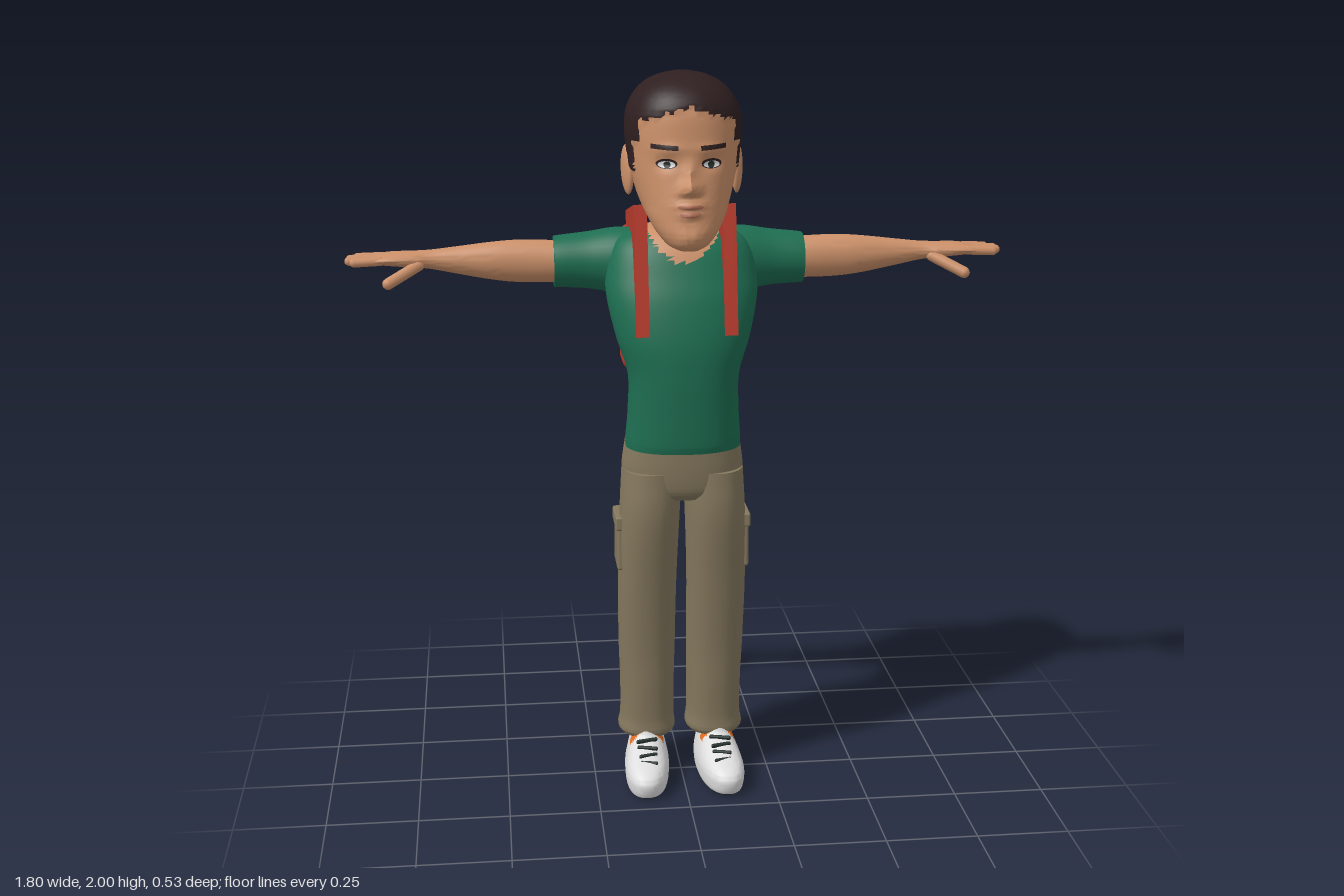
import * as THREE from 'three';
import { toCreasedNormals } from 'three/addons/utils/BufferGeometryUtils.js';
import { RoundedBoxGeometry } from 'three/addons/geometries/RoundedBoxGeometry.js';

const paint = (name, color) => Object.assign(new THREE.MeshStandardMaterial({ color }), { name });

// Skin over rings [cx, cy, cz, a, b], stacked along y or x; pick() chooses a material per face
function loft(rings, { axis = 'y', seg = 32, div = 24, power = 2, crease = 0.9, pick = () => 0, deform } = {}) {
  const mid = new THREE.CatmullRomCurve3(rings.map(r => new THREE.Vector3(r[0], r[1], r[2])), false, 'catmullrom');
  const size = new THREE.CatmullRomCurve3(rings.map(r => new THREE.Vector3(r[3], r[4], 0)), false, 'catmullrom');
  const pts = [];
  const pow = v => Math.sign(v) * Math.abs(v) ** (2 / power);
  for (let i = -1; i <= div + 1; i++) {
    const t = THREE.MathUtils.clamp(i / div, 0, 1);
    const c = mid.getPoint(t), s = size.getPoint(t);
    if (i < 0 || i > div) s.set(0, 0, 0); // closing caps
    for (let j = 0; j < seg; j++) {
      const th = (j / seg) * Math.PI * 2, u = s.x * pow(Math.cos(th)), v = s.y * pow(Math.sin(th));
      const p = axis === 'y' ? new THREE.Vector3(c.x + u, c.y, c.z + v) : new THREE.Vector3(c.x, c.y + u, c.z - v);
      if (deform) deform(p, c);
      pts.push(p);
    }
  }
  const lists = [];
  const tri = (...k) => {
    const m = new THREE.Vector3();
    k.forEach(n => m.addScaledVector(pts[n], 1 / 3));
    (lists[pick(m)] ??= []).push(...k);
  };
  for (let i = 0; i < div + 2; i++) for (let j = 0; j < seg; j++) {
    const k = (j + 1) % seg, a = i * seg + j, b = a + seg, c = i * seg + k, d = c + seg;
    if (i > 0) tri(a, b, c);
    if (i < div + 1) tri(c, b, d);
  }
  const geo = new THREE.BufferGeometry().setFromPoints(pts);
  geo.setIndex(lists.flat());
  let start = 0;
  lists.forEach((l, m) => { geo.addGroup(start, l.length, m); start += l.length; });
  return toCreasedNormals(geo, crease);
}

// Rings given as [y, halfWidth, zFront, zBack]
const upright = (rows, cx = 0) => rows.map(([y, a, f, b]) => [cx, y, (f + b) / 2, a, (f - b) / 2]);

function mirrored(geo) {
  const g = geo.index ? geo.toNonIndexed() : geo.clone();
  g.scale(-1, 1, 1);
  for (const at of Object.values(g.attributes)) {
    const n = at.itemSize, arr = at.array;
    for (let i = 0; i < arr.length; i += 3 * n) for (let k = 0; k < n; k++) {
      [arr[i + n + k], arr[i + 2 * n + k]] = [arr[i + 2 * n + k], arr[i + n + k]];
    }
  }
  return g;
}

function capsule(from, to, r) {
  const a = new THREE.Vector3(...from), d = new THREE.Vector3(...to).sub(a), len = d.length();
  const g = new THREE.CapsuleGeometry(r, len - 2 * r, 4, 10);
  g.applyQuaternion(new THREE.Quaternion().setFromUnitVectors(new THREE.Vector3(0, 1, 0), d.clone().normalize()));
  return g.translate(...a.addScaledVector(d, 0.5).toArray());
}

export function createModel() {
  const root = new THREE.Group();
  root.name = 'boyWithBackpack';
  const skin = paint('skin', 0xcb9069), hair = paint('hair', 0x2f1f20), green = paint('shirt green', 0x1e6e52);
  const khaki = paint('trouser khaki', 0x85785e), red = paint('backpack red', 0xb73a2b), white = paint('white', 0xdedede);
  const orange = paint('shoe orange', 0xe06c1e), dark = paint('sole dark', 0x27322f), lip = paint('lip', 0xb4735a);

  const add = (name, geo, mat) => {
    const m = new THREE.Mesh(geo, mat);
    m.name = name;
    root.add(m);
    return m;
  };
  const pair = (name, geo, mat) => { add(name + 'Left', geo, mat); add(name + 'Right', mirrored(geo), mat); };

  // Head: face and hair share one surface, divided along the hairline
  const hairline = (x, z) => z < 0.015 ? 1.685 : z < 0.06 ? 1.79 : z < 0.11 ? 1.75 : z < 0.14 ? 1.83
    : 1.92 - 0.035 * Math.min(1, Math.abs(x) / 0.11) + 0.005 * Math.sin(x * 190);
  const bumps = [ // x, y, width, height, depth
    [0, 1.718, 0.02, 0.018, 0.034], [0, 1.75, 0.013, 0.028, 0.018], [0.02, 1.71, 0.01, 0.01, 0.01], [-0.02, 1.71, 0.01, 0.01, 0.01],
    [0, 1.673, 0.03, 0.01, 0.014], [0, 1.65, 0.026, 0.01, 0.012], [0, 1.59, 0.035, 0.02, 0.006],
    [0.057, 1.777, 0.026, 0.016, -0.01], [-0.057, 1.777, 0.026, 0.016, -0.01],
    [0.05, 1.815, 0.04, 0.012, 0.006], [-0.05, 1.815, 0.04, 0.012, 0.006]];
  const head = add('head', loft(upright([
    [1.555, 0.03, 0.215, 0.13], [1.568, 0.055, 0.23, 0.09], [1.6, 0.082, 0.235, 0.05], [1.64, 0.104, 0.229, 0],
    [1.67, 0.117, 0.226, -0.07], [1.7, 0.127, 0.22, -0.1], [1.75, 0.139, 0.21, -0.112], [1.8, 0.145, 0.206, -0.12],
    [1.85, 0.149, 0.203, -0.122], [1.9, 0.145, 0.197, -0.122], [1.94, 0.127, 0.18, -0.112], [1.97, 0.1, 0.148, -0.085],
    [1.99, 0.062, 0.105, -0.04], [2, 0.02, 0.055, 0.01]]), {
    seg: 80, div: 72, power: 2.2, crease: 1.2,
    pick: p => p.y > hairline(p.x, p.z) ? 1 : 0,
    deform: (p, c) => {
      if (p.y > hairline(p.x, p.z)) {
        p.x *= 1.03;
        p.z = c.z + (p.z - c.z) * 1.025;
      } else if (p.z > 0.1) {
        for (const [x, y, w, h, d] of bumps) p.z += d * Math.exp(-(((p.x - x) / w) ** 2) - ((p.y - y) / h) ** 2);
      }
    },
  }), [skin, hair]);

  // Thin face details laid onto the face
  const ray = new THREE.Raycaster();
  head.updateMatrixWorld();
  const onFace = (geo, x, y, lift, turn = 0) => {
    geo.rotateZ(turn).translate(x, y, 0);
    const at = geo.attributes.position;
    for (let i = 0; i < at.count; i++) {
      ray.set(new THREE.Vector3(at.getX(i), at.getY(i), 1), new THREE.Vector3(0, 0, -1));
      const hit = ray.intersectObject(head)[0];
      at.setZ(i, (hit ? hit.point.z : 0.15) + lift);
    }
    geo.computeVertexNormals();
    return geo;
  };
  const oval = (w, h) => new THREE.RingGeometry(0.001, 1, 20, 3).scale(w, h, 1);
  pair('eyeLine', onFace(oval(0.027, 0.013), 0.058, 1.778, 0.002), hair);
  pair('eyeWhite', onFace(oval(0.022, 0.009), 0.058, 1.776, 0.0035), white);
  pair('iris', onFace(oval(0.009, 0.009), 0.057, 1.776, 0.005), dark);
  pair('eyebrow', onFace(new THREE.PlaneGeometry(0.068, 0.012, 10, 2), 0.063, 1.82, 0.003, 0.06), hair);
  add('upperLip', onFace(oval(0.034, 0.007), 0, 1.671, 0.002), lip);
  add('lowerLip', onFace(oval(0.028, 0.008), 0, 1.652, 0.002), lip);

  // Ears
  const ear = new THREE.SphereGeometry(1, 20, 14).scale(0.014, 0.066, 0.034).rotateX(-0.15).rotateY(-0.25);
  pair('ear', ear.translate(0.146, 1.745, 0.032), skin);

  // Neck and shirt, with skin showing inside the round collar
  add('neck', loft(upright([[1.47, 0.085, 0.075, -0.1], [1.56, 0.074, 0.066, -0.095], [1.63, 0.07, 0.075, -0.095], [1.72, 0.075, 0.08, -0.095]])), skin);
  add('shirt', loft(upright([
    [0.995, 0.158, 0.163, -0.08], [1.02, 0.157, 0.168, -0.08], [1.1, 0.151, 0.172, -0.066], [1.2, 0.151, 0.176, -0.06],
    [1.3, 0.181, 0.172, -0.08], [1.4, 0.203, 0.15, -0.112], [1.47, 0.204, 0.122, -0.134], [1.53, 0.19, 0.095, -0.138],
    [1.565, 0.16, 0.068, -0.126], [1.585, 0.1, 0.045, -0.108]]), {
    seg: 56, div: 50, power: 2.25,
    pick: p => p.y > (p.z > -0.03 ? 1.505 : 1.55) + 0.07 * (p.x / 0.095) ** 2 ? 1 : 0,
  }), [green, skin]);
  pair('sleeve', loft([[0.1, 1.48, -0.05, 0.095, 0.085], [0.17, 1.488, -0.058, 0.09, 0.084], [0.25, 1.488, -0.068, 0.077, 0.076],
    [0.32, 1.486, -0.07, 0.071, 0.072], [0.34, 1.485, -0.07, 0.069, 0.07]], { axis: 'x' }), green);

  // Arms and hands
  pair('arm', loft([[0.3, 1.485, -0.07, 0.056, 0.052], [0.42, 1.488, -0.07, 0.058, 0.046], [0.5, 1.49, -0.07, 0.052, 0.042],
    [0.6, 1.493, -0.075, 0.037, 0.034], [0.67, 1.496, -0.077, 0.026, 0.03], [0.72, 1.497, -0.08, 0.022, 0.042],
    [0.78, 1.498, -0.085, 0.018, 0.052], [0.825, 1.497, -0.087, 0.011, 0.05]], { axis: 'x', div: 32 }), skin);
  [0.88, 0.898, 0.9, 0.885].forEach((tip, i) =>
    pair('finger' + (i + 1), capsule([0.79, 1.498, -0.122 + i * 0.024], [tip, 1.494, -0.133 + i * 0.028], 0.0125), skin));
  pair('thumb', capsule([0.69, 1.49, -0.06], [0.795, 1.438, 0.002], 0.016), skin);

  // Trousers
  add('hips', loft(upright([[0.85, 0.12, 0.11, -0.07], [0.875, 0.16, 0.13, -0.086], [0.93, 0.168, 0.138, -0.09], [1.01, 0.158, 0.14, -0.078]]),
    { power: 2.3 }), khaki);
  pair('trouserLeg', loft([[0.097, 0.12, -0.037, 0.072, 0.08], [0.097, 0.135, -0.037, 0.082, 0.086], [0.096, 0.175, -0.035, 0.077, 0.083],
    [0.096, 0.28, -0.028, 0.077, 0.086], [0.097, 0.4, -0.018, 0.08, 0.088], [0.097, 0.6, 0.008, 0.082, 0.094],
    [0.091, 0.8, 0.028, 0.083, 0.108], [0.084, 0.93, 0.025, 0.083, 0.11]], { power: 2.25, div: 36 }), khaki);
  pair('cargoPocket', new RoundedBoxGeometry(0.022, 0.14, 0.11, 2, 0.008).translate(0.173, 0.705, 0.005), khaki);
  pair('pocketFlap', new RoundedBoxGeometry(0.024, 0.04, 0.118, 2, 0.006).translate(0.176, 0.772, 0.005), khaki);

  // Shoes: dark sole, white upper, orange heel
  pair('shoe', loft(upright([[0, 0.05, 0.185, -0.1], [0.012, 0.06, 0.203, -0.108], [0.05, 0.063, 0.211, -0.11], [0.075, 0.058, 0.185, -0.108],
    [0.1, 0.05, 0.115, -0.106], [0.125, 0.043, 0.06, -0.104], [0.15, 0.04, 0.045, -0.1]], 0.1), {
    seg: 48, div: 28, power: 2.4,
    pick: p => p.y < 0.008 ? 1 : p.y > 0.035 && (p.z < -0.058 || (p.y > 0.1 && p.z > 0.02 && p.z < 0.045)) ? 2 : 0,
    deform: p => { p.x += p.z * 0.07; },
  }), [white, dark, orange]);
  for (let i = 0; i < 4; i++) {
    const lace = new RoundedBoxGeometry(0.062 - i * 0.004, 0.012, 0.01, 2, 0.004).rotateX(0.5).rotateY(i % 2 ? 0.25 : -0.25);
    pair('lace' + (i + 1), lace.translate(0.105, 0.122 - i * 0.012, 0.068 + i * 0.024), dark);
  }

  // Backpack with two flat shoulder straps
  add('backpack', new RoundedBoxGeometry(0.3, 0.405, 0.15, 5, 0.035).translate(0, 1.357, -0.195), red);
  const side = new THREE.Shape([[0.165, 1.32], [0.095, 1.66], [-0.175, 1.605], [-0.105, 1.265]].map(p => new THREE.Vector2(...p)));
  const strap = new THREE.ExtrudeGeometry(side, { depth: 0.035, bevelEnabled: false });
  pair('strap', strap.rotateY(-Math.PI / 2).translate(0.135, 0, 0), red);

  return root;
}
